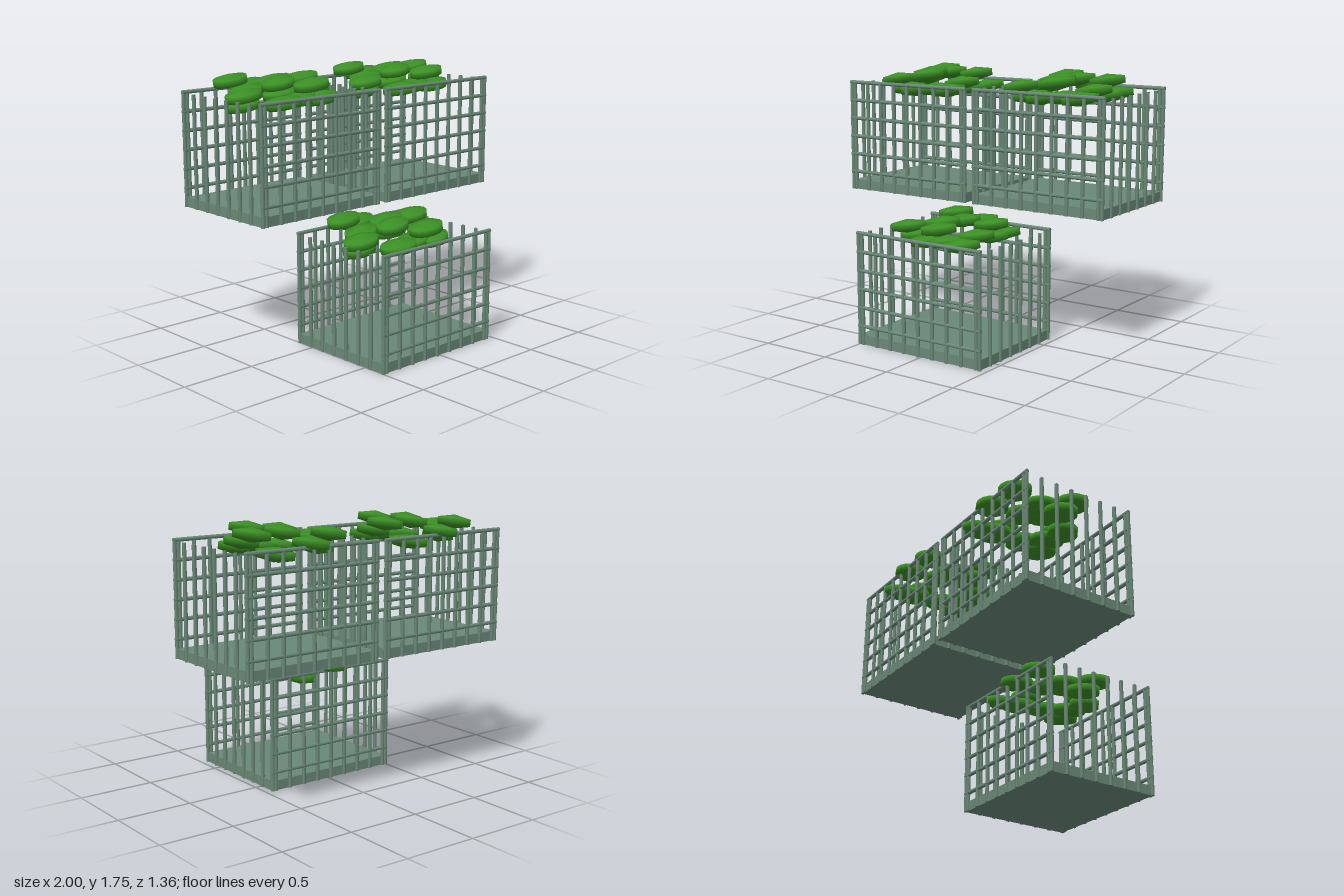
import * as THREE from 'three';

const wire = new THREE.MeshStandardMaterial({ color: 0x6a8877 });
wire.name = 'greyGreenWire';
const green = new THREE.MeshStandardMaterial({ color: 0x3b8f25 });
green.name = 'leafGreen';

// Half width, half depth and heights of one crate
const HW = 0.4745, HD = 0.393, POST_H = 0.735, BASE_H = 0.065;
const POST_STEP = 0.112, RAIL_STEP = 0.1235, R = 0.0128;

const postGeo = new THREE.CylinderGeometry(R, R, POST_H, 8);
const railGeo = new THREE.CylinderGeometry(R, R, 2 * HW + 0.02, 8).rotateZ(Math.PI / 2);
const leafGeo = new THREE.SphereGeometry(1, 14, 3);

// x, y, z inside the crate, then yaw
const LEAVES = [
  [-0.19, 0.80, -0.28, 0.1], [-0.02, 0.755, -0.335, 0], [0.18, 0.70, -0.29, 1.0],
  [0.15, 0.69, -0.20, 0], [-0.20, 0.75, -0.10, 0.2], [-0.34, 0.745, 0.05, 0],
  [0.01, 0.80, -0.085, 0.1], [0.23, 0.80, -0.085, -0.1], [-0.06, 0.80, 0.045, 0.3],
  [0.21, 0.745, 0.055, 0.2], [0.18, 0.70, 0.17, 0.3], [0.05, 0.80, 0.235, 0],
  [-0.11, 0.69, 0.15, -0.3], [0.04, 0.70, 0.13, 0.4], [-0.30, 0.68, -0.01, 0.2],
];

function add(parent, geo, mat, name, x, y, z) {
  const mesh = new THREE.Mesh(geo, mat);
  mesh.name = name;
  mesh.position.set(x, y, z);
  parent.add(mesh);
  return mesh;
}

function makeCrate(name) {
  const crate = new THREE.Group();
  crate.name = name;
  add(crate, new THREE.BoxGeometry(2 * HW, BASE_H, 2 * HD), wire, 'baseTray', 0, BASE_H / 2, 0);

  // Front and back lattice panels
  for (const side of [1, -1]) {
    const panel = new THREE.Group();
    panel.name = side > 0 ? 'frontLattice' : 'backLattice';
    for (let i = -4; i <= 4; i++)
      add(panel, postGeo, wire, 'latticePost', i * POST_STEP, POST_H / 2, side * HD);
    for (let j = 1; j <= 6; j++)
      add(panel, railGeo, wire, 'latticeRail', 0, j * RAIL_STEP, side * HD);
    crate.add(panel);
  }

  // Open rows of posts on the left and right
  for (const side of [1, -1]) {
    const row = new THREE.Group();
    row.name = side > 0 ? 'leftPosts' : 'rightPosts';
    for (let i = 0; i < 8; i++)
      add(row, postGeo, wire, 'sidePost', side * HW, POST_H / 2, -HD + i * 2 * HD / 7);
    crate.add(row);
  }

  // Heap of flattened leaves, each tipped up towards the left
  const heap = new THREE.Group();
  heap.name = 'leafHeap';
  for (const [x, y, z, yaw] of LEAVES) {
    const leaf = add(heap, leafGeo, green, 'leaf', x, y, z);
    leaf.scale.set(0.14, 0.046, 0.111);
    leaf.rotation.set(0, yaw, 0.15, 'ZYX');
  }
  crate.add(heap);
  return crate;
}

export function createModel() {
  const model = new THREE.Group();
  model.name = 'stackedCrates';
  const places = [
    ['lowerCrate', -0.0225, 0, 0.267],
    ['upperRightCrate', -0.512, 0.905, -0.262],
    ['upperLeftCrate', 0.51, 0.905, -0.262],
  ];
  for (const [name, x, y, z] of places) {
    const crate = makeCrate(name);
    crate.position.set(x, y, z);
    model.add(crate);
  }
  return model;
}
